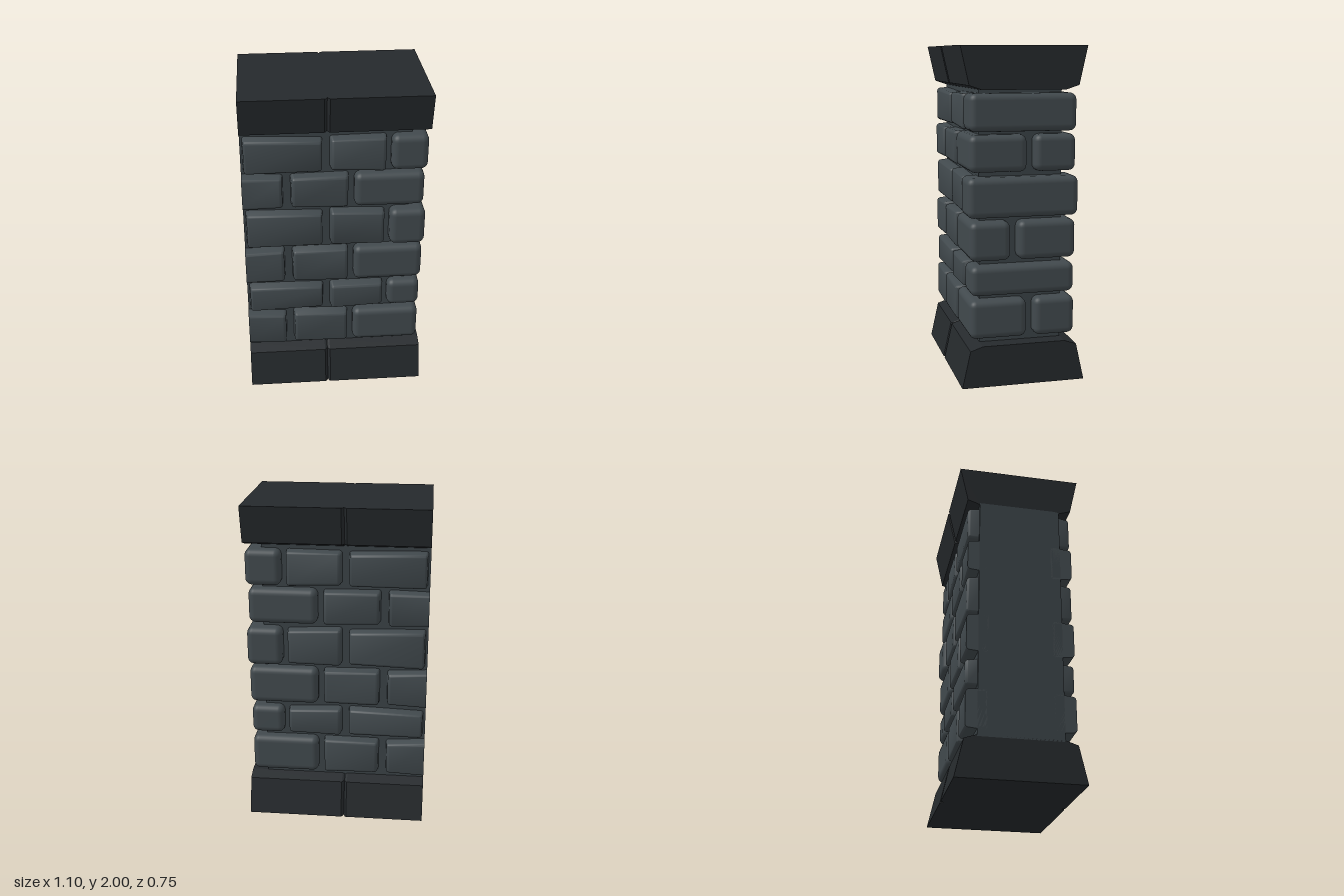
import * as THREE from 'three';
import { RoundedBoxGeometry } from 'three/addons/geometries/RoundedBoxGeometry.js';
import { toCreasedNormals } from 'three/addons/utils/BufferGeometryUtils.js';

const LEFT_CUT = -0.55;
const brickMat = new THREE.MeshStandardMaterial({ color: 0x41494d });
const coreMat = new THREE.MeshStandardMaterial({ color: 0x3a4246 });
const slabMat = new THREE.MeshStandardMaterial({ color: 0x25292c });

function makeRandom(seed) {
  return () => (seed = (seed * 16807) % 2147483647) / 2147483647;
}

function addMesh(parent, name, geometry, material) {
  const mesh = new THREE.Mesh(geometry, material);
  mesh.name = name;
  parent.add(mesh);
  return mesh;
}

// Rounded block between two corners, with an optional rule to move its vertices
function block(x0, x1, y0, y1, z0, z1, radius, rule) {
  const size = [x1 - x0, y1 - y0, z1 - z0];
  const geo = new RoundedBoxGeometry(...size, 3, radius);
  geo.translate((x0 + x1) / 2, (y0 + y1) / 2, (z0 + z1) / 2);
  if (!rule) return geo;
  const p = geo.attributes.position;
  const v = new THREE.Vector3();
  for (let i = 0; i < p.count; i++) {
    v.fromBufferAttribute(p, i);
    rule(v);
    p.setXYZ(i, v.x, v.y, v.z);
  }
  return toCreasedNormals(geo, 0.7);
}

// Brick on a broad face: tapers outward, edges slightly out of level, cut flush at the wall end
function faceBrick(x0, x1, y0, y1, side, random) {
  const cx = (x0 + x1) / 2, cy = (y0 + y1) / 2;
  const hx = (x1 - x0) / 2, hy = (y1 - y0) / 2;
  const tiltTop = (random() - 0.5) * 0.016;
  const tiltBottom = (random() - 0.5) * 0.016;
  const zs = side > 0 ? [0.19, 0.32] : [-0.32, -0.19];
  return block(x0, x1, y0, y1, ...zs, 0.018, (v) => {
    const u = (v.x - cx) / hx, w = (v.y - cy) / hy;
    const inset = 0.012 * THREE.MathUtils.clamp((Math.abs(v.z) - 0.25) / 0.07, 0, 1);
    v.x = Math.max(LEFT_CUT, v.x - u * inset);
    v.y += u * (w > 0 ? tiltTop : tiltBottom) * Math.abs(w) - w * inset;
  });
}

// Plinth: sloped and chamfered profile swept along x, pinched to a groove at the joint
function plinthGeometry() {
  const profile = [[0.375, 0], [-0.375, 0], [-0.325, 0.225], [-0.25, 0.25], [0.25, 0.25], [0.325, 0.225]];
  const stations = [[-0.55, 0], [-0.066, 0], [-0.058, 0.006], [-0.05, 0.025], [-0.042, 0.006], [-0.034, 0], [0.55, 0]];
  const rings = stations.map(([x, inset]) =>
    profile.map(([z, y]) => [x, y, z - Math.sign(z) * inset]));
  const n = profile.length;
  const out = [];
  const tri = (a, b, c) => out.push(...a, ...b, ...c);
  for (let i = 0; i < rings.length - 1; i++) {
    for (let j = 0; j < n; j++) {
      const k = (j + 1) % n;
      tri(rings[i][j], rings[i][k], rings[i + 1][k]);
      tri(rings[i][j], rings[i + 1][k], rings[i + 1][j]);
    }
  }
  const first = rings[0], last = rings[rings.length - 1];
  for (let j = 1; j < n - 1; j++) {
    tri(last[0], last[j], last[j + 1]);
    tri(first[0], first[j + 1], first[j]);
  }
  const geo = new THREE.BufferGeometry();
  geo.setAttribute('position', new THREE.Float32BufferAttribute(out, 3));
  geo.computeVertexNormals();
  return geo;
}

export function createModel() {
  const pillar = new THREE.Group();
  pillar.name = 'brickPillar';
  const random = makeRandom(77);

  // Mortar core
  const core = new THREE.BoxGeometry(1, 1.52, 0.5);
  core.translate(-0.05, 1, 0);
  addMesh(pillar, 'core', core, coreMat);

  // Base and its upside-down twin on top
  const plinth = plinthGeometry();
  addMesh(pillar, 'base', plinth, slabMat);
  const cap = addMesh(pillar, 'cap', plinth, slabMat);
  cap.rotation.x = Math.PI;
  cap.position.y = 2;

  // Courses from bottom to top; split is the centre of the end joint, if there is one
  const courses = [
    { y: [0.285, 0.518], end: 0.53, z: 0.32, split: -0.047 },
    { y: [0.545, 0.725], end: 0.532, z: 0.315 },
    { y: [0.755, 0.988], end: 0.537, z: 0.32, split: 0.053 },
    { y: [1.01, 1.247], end: 0.545, z: 0.334 },
    { y: [1.275, 1.492], end: 0.53, z: 0.32, split: -0.047 },
    { y: [1.51, 1.73], end: 0.545, z: 0.32 },
  ];
  courses.forEach(({ y, end, z, split }, i) => {
    const course = new THREE.Group();
    course.name = `course${i + 1}`;
    pillar.add(course);
    const hasJoint = split !== undefined;
    const spans = hasJoint
      ? [[-0.62, -0.305], [-0.267, 0.085]]
      : [[-0.54, -0.07], [-0.035, 0.305]];
    for (const side of [1, -1]) {
      for (const [x0, x1] of spans) {
        const geo = faceBrick(x0, x1, ...y, side, random);
        addMesh(course, side > 0 ? 'frontBrick' : 'backBrick', geo, brickMat);
      }
    }
    // Corner bricks wrapping the end
    const x0 = hasJoint ? 0.115 : 0.33;
    const depths = hasJoint ? [[split + 0.023, z], [-z, split - 0.023]] : [[-z, z]];
    for (const d of depths) {
      addMesh(course, 'cornerBrick', block(x0, end, ...y, ...d, 0.04), brickMat);
    }
  });

  return pillar;
}
